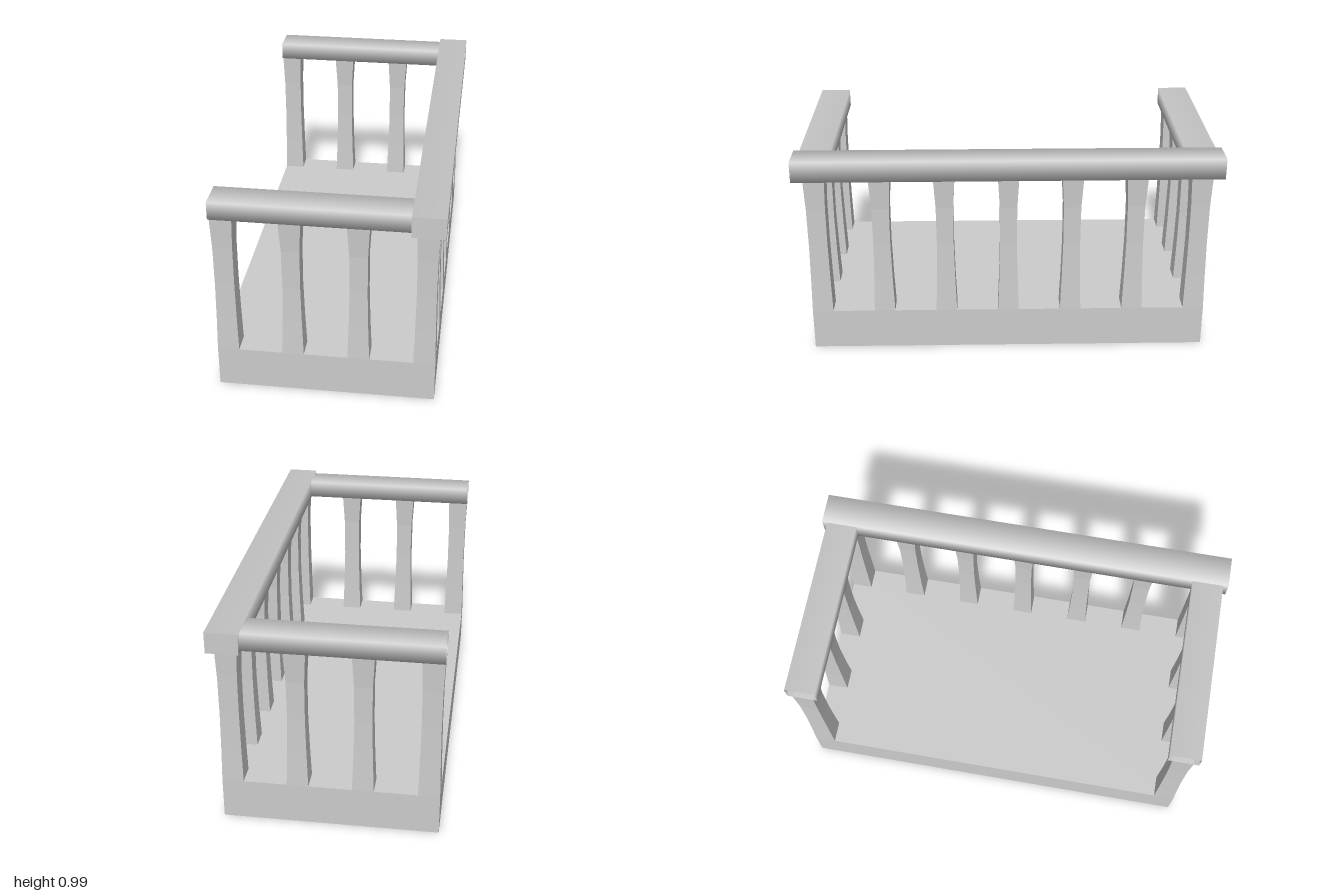
import * as THREE from 'three';

const flat = new THREE.MeshStandardMaterial({ color: 0xcccccc, flatShading: true });
const smooth = new THREE.MeshStandardMaterial({ color: 0xcccccc, side: THREE.DoubleSide });

// Square post, slightly pinched between its ends
function postGeometry(pinch) {
  const levels = [0.2, 0.37, 0.55, 0.74, 0.9];
  const amounts = [0, 0.6, 1, 0.9, 0];
  const geo = new THREE.BoxGeometry(0.1, 1, 0.1, 1, 4, 1);
  const p = geo.attributes.position;
  for (let i = 0; i < p.count; i++) {
    const k = Math.round((p.getY(i) + 0.5) * 4);
    const s = 1 - (pinch * amounts[k]) / 0.05;
    p.setXYZ(i, p.getX(i) * s, levels[k], p.getZ(i) * s);
  }
  geo.computeVertexNormals();
  return geo;
}

// Four-sided bar along z with smoothed edges
function railGeometry(width, height, length, open) {
  const geo = new THREE.CylinderGeometry(Math.SQRT1_2, Math.SQRT1_2, length, 4, 1, open);
  geo.rotateY(Math.PI / 4);
  geo.rotateX(Math.PI / 2);
  geo.scale(width, height, 1);
  return geo;
}

export function createModel() {
  const model = new THREE.Group();
  const add = (name, geo, mat, x, y, z) => {
    const mesh = new THREE.Mesh(geo, mat);
    mesh.name = name;
    mesh.position.set(x, y, z);
    model.add(mesh);
    return mesh;
  };

  // Floor slab
  add('floorSlab', new THREE.BoxGeometry(1, 0.2, 1.9), flat, -0.015, 0.1, 0);

  // Posts: two side rows, then the long row between the corners
  const endPost = postGeometry(0.006);
  const innerPost = postGeometry(0.01);
  for (const z of [-0.9, 0.9]) {
    for (let i = 0; i < 4; i++) {
      const end = i === 0 || i === 3;
      add('sidePost', end ? endPost : innerPost, flat, -0.465 + 0.3 * i, 0, z);
    }
  }
  for (let i = -2; i <= 2; i++) add('longPost', innerPost, flat, 0.435, 0, 0.3 * i);

  // Handrails: one long capped rail and two open-ended side rails
  add('longRail', railGeometry(0.147, 0.1, 2, false), smooth, 0.437, 0.941, 0);
  const sideRail = railGeometry(0.146, 0.084, 0.88, true).rotateY(Math.PI / 2);
  for (const z of [-0.902, 0.902]) add('sideRail', sideRail, smooth, -0.075, 0.942, z);

  return model;
}
